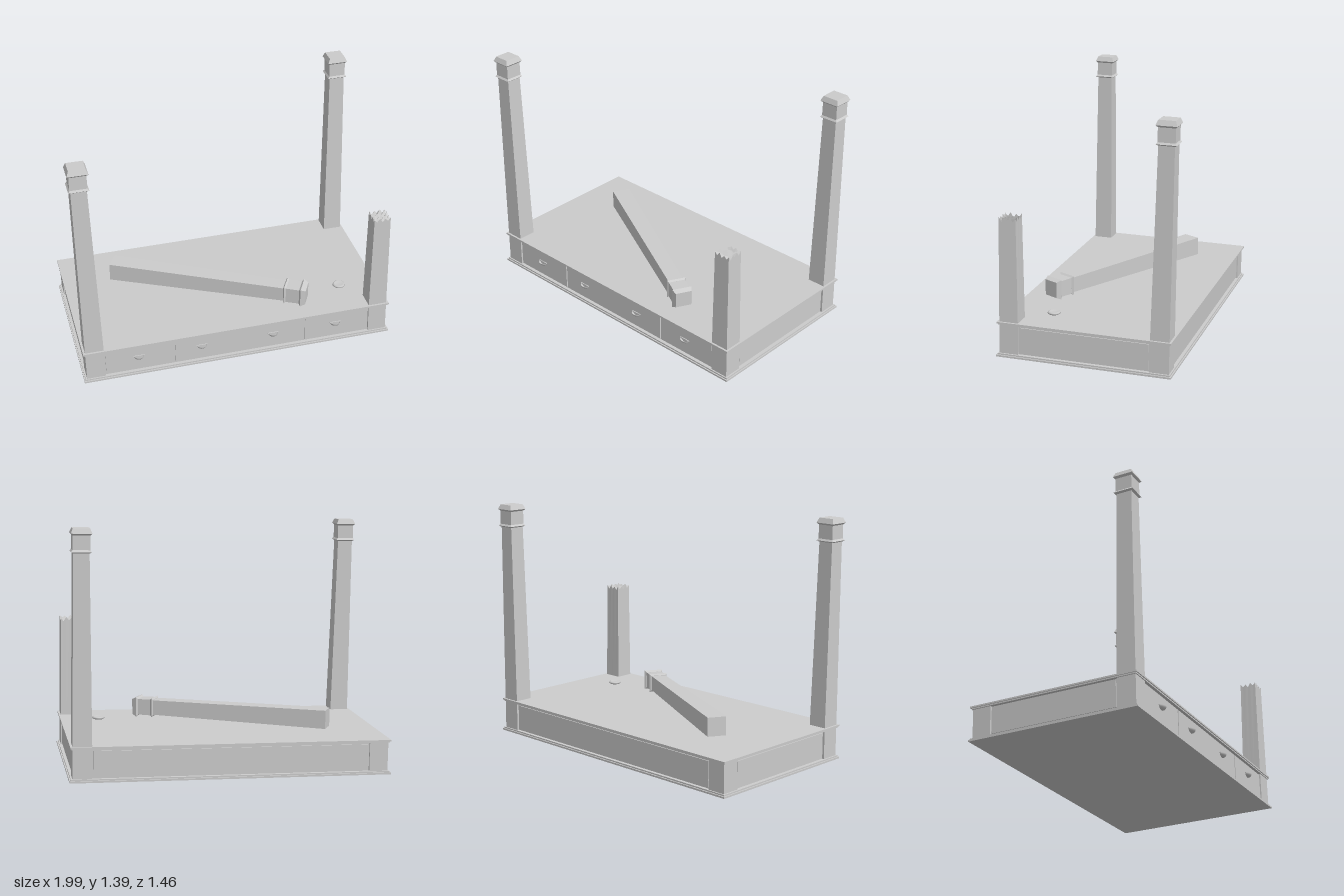
import * as THREE from 'three';

const grey = new THREE.MeshStandardMaterial({ color: 0xcccccc, flatShading: true });
const shell = new THREE.MeshStandardMaterial({ color: 0xcccccc, side: THREE.DoubleSide });

function add(parent, name, geometry, material = grey) {
  const mesh = new THREE.Mesh(geometry, material);
  mesh.name = name;
  parent.add(mesh);
  return mesh;
}

function box(parent, name, w, h, d, x, y, z) {
  const mesh = add(parent, name, new THREE.BoxGeometry(w, h, d));
  mesh.position.set(x, y, z);
  return mesh;
}

// Square section block from y0 (width w0) to y1 (width w1), its axis running from (x0,z0) to (x1,z1)
function taper(y0, y1, w0, w1, x0 = 0, z0 = 0, x1 = x0, z1 = z0, seg = 1, rough = 0) {
  let g = new THREE.BoxGeometry(1, 1, 1, seg, 1, seg);
  const p = g.attributes.position;
  for (let i = 0; i < p.count; i++) {
    const t = p.getY(i) + 0.5, x = p.getX(i), z = p.getZ(i);
    const w = w0 + (w1 - w0) * t;
    const a = Math.round((x + 0.5) * seg), b = Math.round((z + 0.5) * seg);
    // splintered end: alternating teeth around the rim, lower in the middle
    const inside = a > 0 && a < seg && b > 0 && b < seg;
    const tooth = ((a + b) % 2) * 0.7 + ((a * 7 + b * 5) % 4) * 0.1 + (inside ? 0.4 : 0);
    p.setXYZ(i, x0 + (x1 - x0) * t + x * w,
      y0 + (y1 - y0) * t - t * rough * tooth,
      z0 + (z1 - z0) * t + z * w);
  }
  g = g.toNonIndexed();
  g.computeVertexNormals();
  return g;
}

const LEG_W = 0.105, FOOT_W = 0.086, SHAFT = 1.04;

// Leg tapering on its inner faces; sx, sz point to the straight outer faces
function makeLeg(name, sx, sz) {
  const leg = new THREE.Group();
  leg.name = name;
  const s = (LEG_W - FOOT_W) / 2, cx = sx * s, cz = sz * s;
  add(leg, 'legShaft', taper(0, SHAFT, LEG_W, FOOT_W, 0, 0, cx, cz));
  // collar, foot block and flared cap
  const rings = [
    ['footCollar', 1.035, 1.042, 0.09, 0.109],
    ['footCollar', 1.042, 1.052, 0.109, 0.094],
    ['footBlock', 1.045, 1.14, 0.094, 0.092],
    ['footFlare', 1.128, 1.138, 0.093, 0.113],
    ['footCap', 1.138, 1.165, 0.113, 0.09],
  ];
  for (const [part, y0, y1, w0, w1] of rings) add(leg, part, taper(y0, y1, w0, w1, cx, cz));
  return leg;
}

export function createModel() {
  const model = new THREE.Group();
  model.name = 'overturnedDesk';

  // Desk lies top down, slightly tilted
  const desk = new THREE.Group();
  desk.name = 'desk';
  desk.rotation.set(-0.014, 0.302, 0.017, 'YZX');
  desk.position.set(0, 0.0235, 0);
  model.add(desk);

  // Slab, body and rim
  const HX = 0.874, HZ = 0.468, TOP = 0.195;
  box(desk, 'tableTop', 1.78, 0.01, 0.965, 0, 0.005, 0);
  box(desk, 'tableTopMoulding', 1.766, 0.009, 0.951, 0, 0.0135, 0);
  box(desk, 'body', 2 * HX - 0.024, 0.175, 2 * HZ - 0.024, 0, 0.1, 0);
  box(desk, 'rim', 1.772, 0.009, 0.959, 0, TOP - 0.0045, 0);
  box(desk, 'rimMoulding', 1.762, 0.008, 0.947, 0, TOP - 0.012, 0);

  // Corner posts and legs, one snapped short
  const px = HX - LEG_W / 2, pz = HZ - LEG_W / 2;
  for (const sx of [-1, 1]) for (const sz of [-1, 1]) {
    box(desk, 'cornerPost', LEG_W, 0.18, LEG_W, sx * px, 0.1, sz * pz);
    if (sx === sz && sx === -1) continue; // this leg lies loose
    if (sx === 1 && sz === 1) {
      const stump = add(desk, 'brokenLeg',
        taper(0, 0.585, LEG_W, 0.094, 0, 0, 0.0055, 0.0055, 6, 0.026));
      stump.position.set(px, 0.19, pz);
    } else {
      const leg = makeLeg('leg', sx, sz);
      leg.position.set(sx * px, 0.19, sz * pz);
      desk.add(leg);
    }
  }

  // Raised panels on both ends and the back
  for (const s of [-1, 1]) box(desk, 'endPanel', 0.012, 0.142, 0.71, s * (HX - 0.012), 0.098, 0);
  box(desk, 'backPanel', 1.52, 0.142, 0.012, 0, 0.098, -HZ + 0.012);

  // Drawers with cup handles
  const drawers = [[-0.763, -0.375, [-0.575]], [-0.367, 0.383, [-0.215, 0.2]], [0.391, 0.763, [0.57]]];
  for (const [x0, x1, handles] of drawers) {
    box(desk, 'drawerFront', x1 - x0, 0.146, 0.014, (x0 + x1) / 2, 0.098, HZ - 0.012);
    for (const x of handles) {
      const cup = add(desk, 'cupHandle',
        new THREE.SphereGeometry(1, 16, 6, 0, Math.PI * 2, Math.PI / 2, Math.PI / 2), shell);
      cup.scale.set(0.029, 0.021, 0.026);
      cup.position.set(x, 0.115, HZ - 0.005);
      box(desk, 'handlePlate', 0.064, 0.005, 0.006, x, 0.115, HZ - 0.003);
    }
  }

  // Small round knob left on the underside
  const profile = [[0, 0], [0.028, 0], [0.036, 0.005], [0.034, 0.012], [0.027, 0.016], [0.024, 0.012], [0, 0.012]]
    .map(([x, y]) => new THREE.Vector2(x, y));
  const knob = add(desk, 'looseKnob', new THREE.LatheGeometry(profile, 16), shell);
  knob.position.set(0.666, TOP, 0.234);

  // Loose leg lying across the underside
  const loose = makeLeg('looseLeg', -1, 0);
  loose.rotation.set(0, -0.185, -Math.PI / 2, 'YZX');
  loose.position.set(-0.632, 0.277, -0.028);
  model.add(loose);

  return model;
}
